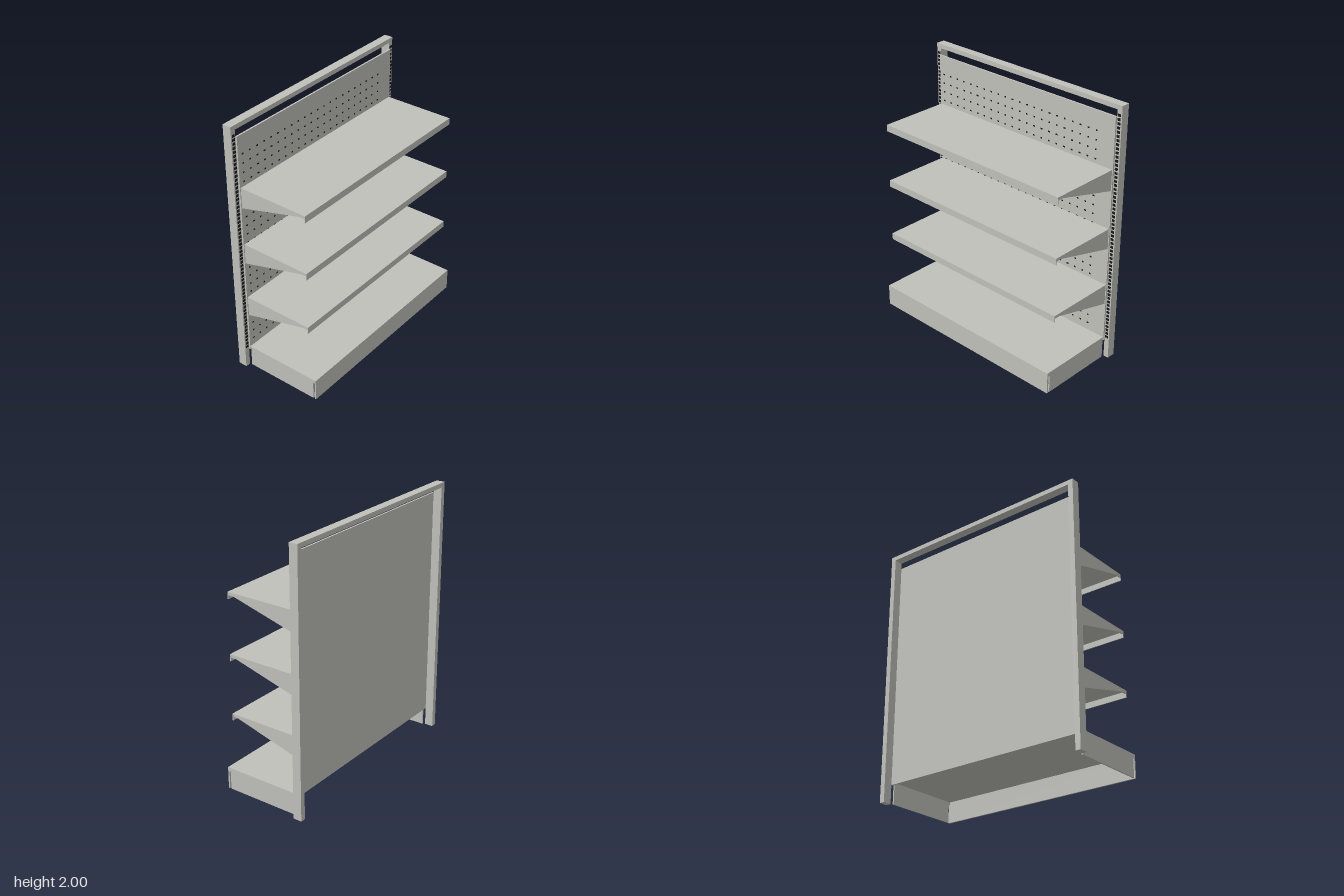
import * as THREE from 'three';
import { mergeGeometries } from 'three/addons/utils/BufferGeometryUtils.js';

const metal = new THREE.MeshStandardMaterial({ color: 0xc0c0bb });
metal.name = 'light grey metal';
const dark = new THREE.MeshStandardMaterial({ color: 0x1a1a1a });
dark.name = 'dark hole';

// Box given by its limits on each axis
function boxGeo(x0, x1, y0, y1, z0, z1) {
  return new THREE.BoxGeometry(x1 - x0, y1 - y0, z1 - z0)
    .translate((x0 + x1) / 2, (y0 + y1) / 2, (z0 + z1) / 2);
}

function add(parent, name, geometry, material = metal) {
  const mesh = new THREE.Mesh(geometry, material);
  mesh.name = name;
  parent.add(mesh);
  return mesh;
}

// Upright plate cut from a (z, y) outline, centred on x
function sidePlate(points, x, thickness) {
  const shape = new THREE.Shape(points.map(([z, y]) => new THREE.Vector2(z, y)));
  return new THREE.ExtrudeGeometry(shape, { depth: thickness, bevelEnabled: false })
    .rotateY(-Math.PI / 2).translate(x + thickness / 2, 0, 0);
}

export function createModel() {
  const model = new THREE.Group();
  model.name = 'shelvingUnit';
  const back = -0.347, frameFront = -0.28, panelFront = -0.267;

  // Frame: two uprights and a top rail
  const frame = new THREE.Group();
  frame.name = 'frame';
  model.add(frame);
  add(frame, 'leftUpright', boxGeo(0.833, 0.873, 0, 1.966, back, frameFront));
  add(frame, 'rightUpright', boxGeo(-0.873, -0.833, 0, 1.966, back, frameFront));
  add(frame, 'topRail', boxGeo(-0.873, 0.873, 1.966, 2, back, frameFront));

  // Rows of slots on the uprights
  const slots = [];
  for (const side of [-1, 1]) {
    for (let i = 0; i < 59; i++) {
      const y = 0.178 + i * 0.0302;
      for (const dx of [-0.0062, 0.0062]) {
        const x = side * 0.852 + dx;
        slots.push(boxGeo(x - 0.005, x + 0.005, y - 0.009, y + 0.009, frameFront, -0.276));
      }
    }
  }
  add(model, 'uprightSlots', mergeGeometries(slots), dark);

  // Perforated back panel
  add(model, 'backPanel', boxGeo(-0.833, 0.833, 0.142, 1.918, frameFront, panelFront));
  const holes = [];
  for (let row = 0; row < 23; row++) {
    for (let col = 0; col < 22; col++) {
      const x = -0.79 + col * 0.07, y = 0.23 + row * 0.0702;
      holes.push(boxGeo(x - 0.007, x + 0.007, y - 0.005, y + 0.005, panelFront, -0.265));
    }
  }
  add(model, 'panelHoles', mergeGeometries(holes), dark);

  // Three shelves, each a sheet with a front lip and tapered brackets
  for (const top of [0.618, 1.073, 1.528]) {
    const shelf = new THREE.Group();
    shelf.name = 'shelf';
    shelf.position.y = top;
    model.add(shelf);
    add(shelf, 'shelfTop', boxGeo(-0.827, 0.827, -0.008, 0, panelFront, 0.286));
    add(shelf, 'frontLip', boxGeo(-0.827, 0.827, -0.052, 0, 0.28, 0.286));
    const outline = [[panelFront, -0.16], [0.235, -0.024], [0.28, -0.024], [0.28, -0.002], [panelFront, -0.002]];
    for (const side of [-1, 1]) {
      add(shelf, 'bracket', sidePlate(outline, side * 0.8215, 0.009));
    }
  }

  // Base: open below, with deck, kick plate and side plates
  const base = new THREE.Group();
  base.name = 'base';
  model.add(base);
  add(base, 'deck', boxGeo(-0.83, 0.83, 0.16, 0.17, panelFront, 0.347));
  add(base, 'kickPlate', boxGeo(-0.83, 0.83, 0, 0.16, 0.335, 0.347));
  for (const side of [-1, 1]) {
    const x = side * 0.825;
    add(base, 'deckEdge', boxGeo(x - 0.005, x + 0.005, 0.14, 0.16, -0.262, 0.335));
    add(base, 'sidePlate', boxGeo(x - 0.005, x + 0.005, 0, 0.14, -0.262, 0.323));
  }
  return model;
}
